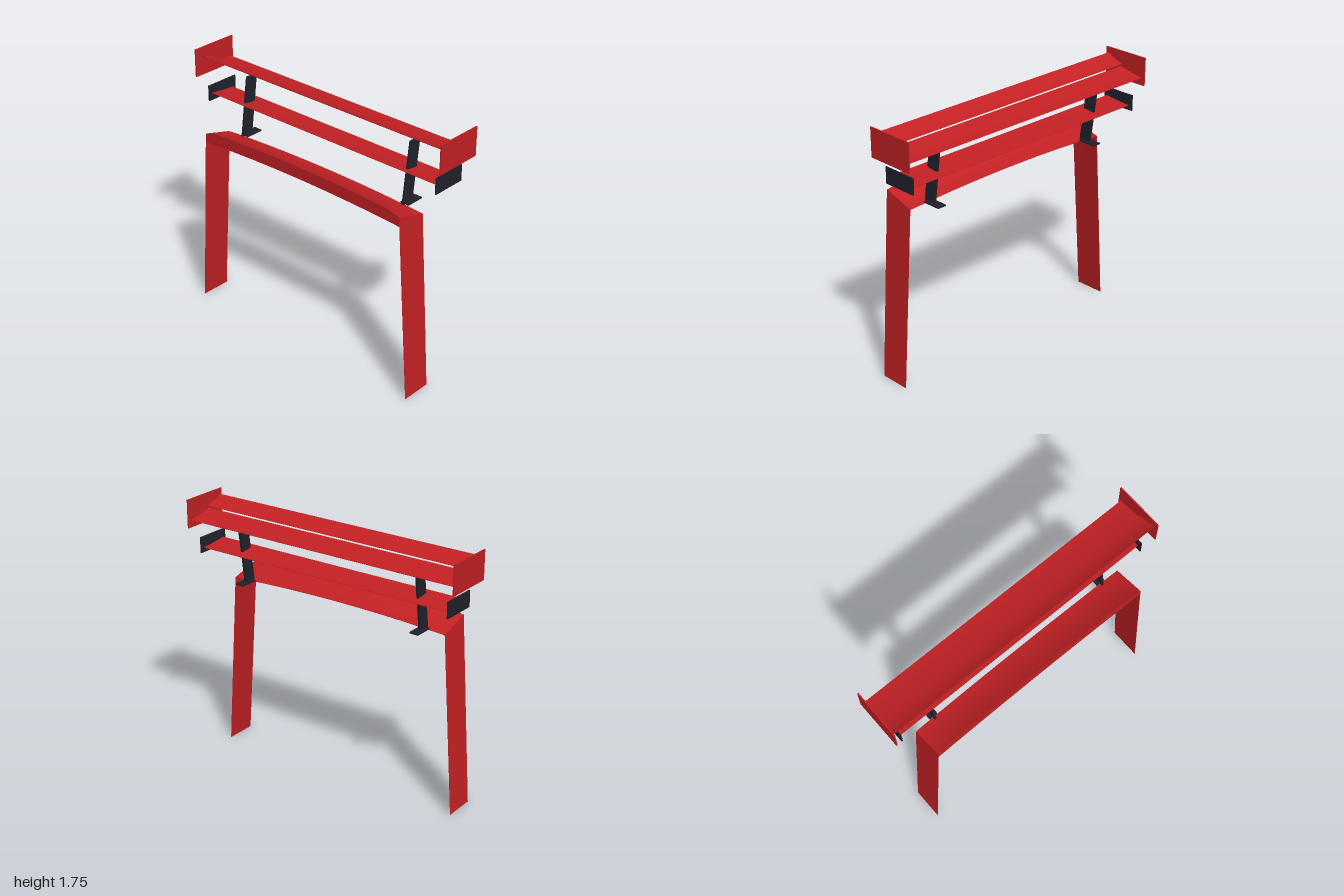
import * as THREE from 'three';
import { toCreasedNormals } from 'three/addons/utils/BufferGeometryUtils.js';

const red = new THREE.MeshStandardMaterial({ color: 0xc42124 });
red.name = 'red paint';
const dark = new THREE.MeshStandardMaterial({ color: 0x22222d });
dark.name = 'dark carbon';

// Extrude a closed (z, y) profile along x, centred on x
function sweep(points, width, x = 0, steps = 1) {
  const shape = new THREE.Shape(points.map(([z, y]) => new THREE.Vector2(z, y)));
  const g = new THREE.ExtrudeGeometry(shape, { depth: width, steps, bevelEnabled: false });
  g.rotateY(-Math.PI / 2);
  g.translate(x + width / 2, 0, 0);
  return g;
}

// Thin upswept wing section: the low leading edge is at the back
function wingProfile(z0, y0, z1, y1, thick) {
  const top = [], bottom = [], n = 10;
  for (let i = 0; i <= n; i++) {
    const t = i / n;
    const z = z0 + (z1 - z0) * t;
    const y = y0 + (y1 - y0) * (0.55 * t + 0.45 * t * t);
    const h = thick * Math.sqrt(t) * (1 - t) * 2.6;
    top.push([z, y + 0.001]);
    bottom.push([z, y - h - 0.001]);
  }
  return [...bottom, ...top.reverse()];
}

export function createModel() {
  const model = new THREE.Group();
  model.name = 'rearWingAssembly';

  const add = (name, geometry, material) => {
    const mesh = new THREE.Mesh(geometry, material);
    mesh.name = name;
    model.add(mesh);
    return mesh;
  };
  const box = (name, material, w, h, d, x, y, z) =>
    add(name, new THREE.BoxGeometry(w, h, d), material).position.set(x, y, z);
  const wing = (name, width, ...section) =>
    add(name, toCreasedNormals(sweep(wingProfile(...section), width), 0.6), red);

  // Wing elements
  wing('upperMainWing', 1.988, -0.2, 1.611, -0.02, 1.645, 0.008);
  wing('upperFlap', 1.988, -0.03, 1.662, 0.09, 1.712, 0.005);
  wing('lowerWing', 1.868, -0.15, 1.424, 0.04, 1.444, 0.007);

  // Crossbar: wedge with a hollowed top, bowed along its width
  const section = [[0.01, 1.222], [0.22, 1.222], [0.22, 1.303]];
  for (let i = 1; i <= 8; i++) {
    const t = 1 - i / 8;
    section.push([0.01 + 0.21 * t, 1.225 + 0.078 * (0.45 * t + 0.55 * t * t)]);
  }
  const bar = sweep(section, 1.61, 0, 46);
  const p = bar.attributes.position;
  for (let i = 0; i < p.count; i++) {
    const ax = Math.abs(p.getX(i)), y = p.getY(i);
    const corner = Math.max(0, (ax - 0.7) / 0.105) * (y - 1.222) / 0.081;
    p.setY(i, y - 0.026 * (ax / 0.8) ** 2 - 0.018 * corner);
  }
  add('crossbar', toCreasedNormals(bar, 0.5), red);

  for (const [side, s] of [['left', 1], ['right', -1]]) {
    // Splayed sheet leg, its top edge following the end of the crossbar
    const leg = new THREE.BoxGeometry(0.002, 1, 0.21);
    const v = leg.attributes.position;
    for (let i = 0; i < v.count; i++) {
      const up = v.getY(i) > 0, front = v.getZ(i) > 0;
      const y = up ? (front ? 1.26 : 1.198) : 0;
      v.setXYZ(i, v.getX(i) + s * (0.891 - 0.085 * y / 1.23), y,
        front ? (up ? 0.224 : 0.218) : 0.01);
    }
    leg.computeVertexNormals();
    add(side + 'Leg', leg, red);

    // End plates
    box(side + 'UpperEndPlate', red, 0.008, 0.19, 0.33, s * 0.996, 1.655, -0.055);
    box(side + 'LowerEndPlate', dark, 0.008, 0.107, 0.238, s * 0.935, 1.446, -0.057);

    // Raked strut and its foot
    const strut = [[-0.055, 1.212], [0.03, 1.212], [-0.025, 1.614], [-0.11, 1.614]];
    add(side + 'Strut', sweep(strut, 0.014, s * 0.67), dark);
    box(side + 'StrutFoot', dark, 0.06, 0.01, 0.125, s * 0.67, 1.214, -0.053);
  }
  return model;
}
